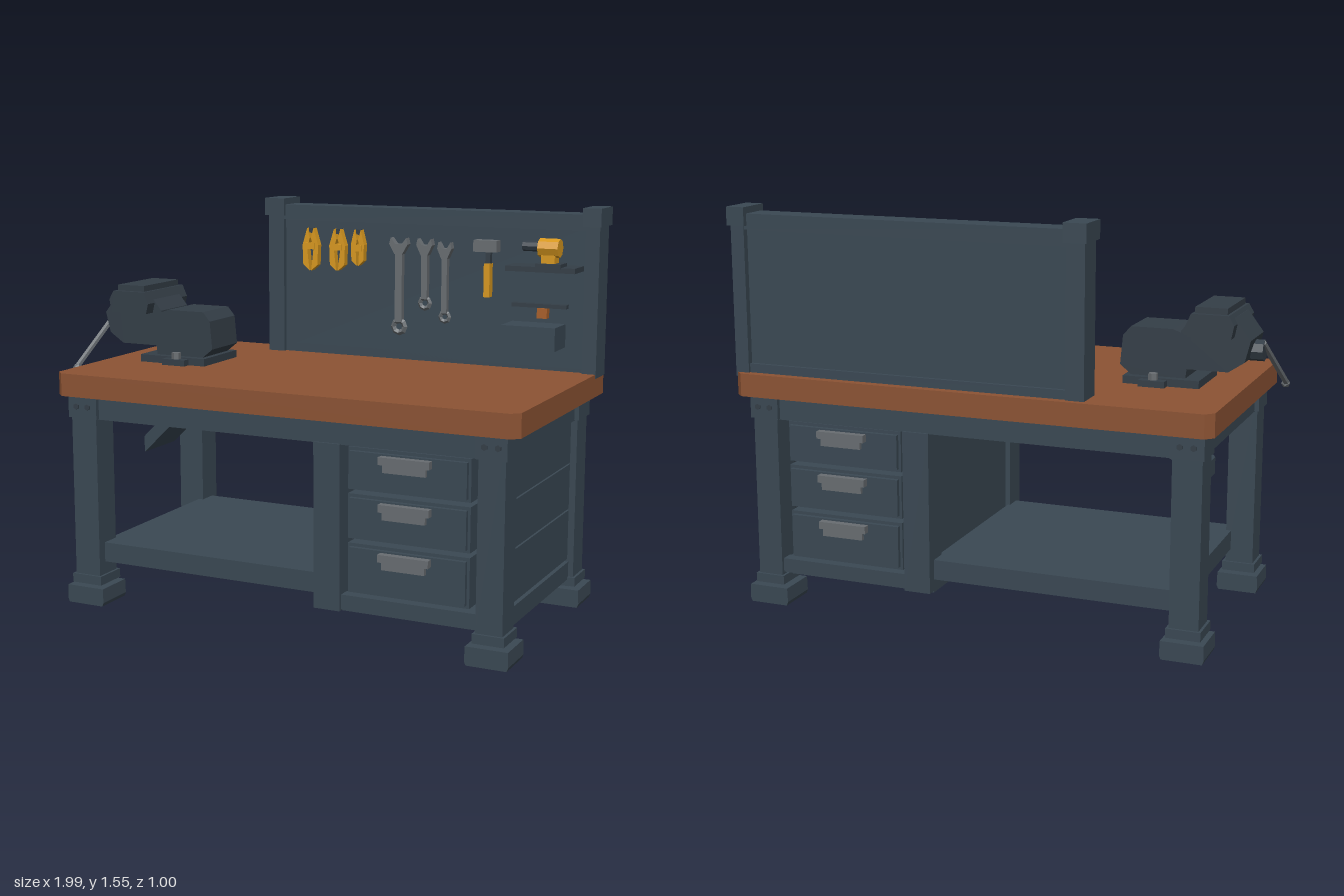
import * as THREE from 'three';

const mat = (name, color) => {
  const m = new THREE.MeshStandardMaterial({ color, flatShading: true });
  m.name = name;
  return m;
};

export function createModel() {
  const steel = mat('slate steel', 0x3a4853);
  const iron = mat('dark iron', 0x343e47);
  const wood = mat('brown wood', 0x8c5334);
  const yellow = mat('tool yellow', 0xd8981f);
  const grey = mat('bare metal', 0x686d71);
  const orange = mat('orange grip', 0xa8602a);

  const root = new THREE.Group();
  root.name = 'workbench';
  const group = (name) => {
    const g = new THREE.Group();
    g.name = name;
    root.add(g);
    return g;
  };
  const add = (g, name, geo, m) => {
    const mesh = new THREE.Mesh(geo, m);
    mesh.name = name;
    g.add(mesh);
    return mesh;
  };
  // Box given by its limits on each axis
  const box = (g, name, m, x0, x1, y0, y1, z0, z1) => {
    const b = add(g, name, new THREE.BoxGeometry(x1 - x0, y1 - y0, z1 - z0), m);
    b.position.set((x0 + x1) / 2, (y0 + y1) / 2, (z0 + z1) / 2);
  };
  // Flat outline in x/y, extruded from z0 to z1
  const plate = (g, name, m, pts, z0, z1) => {
    const shape = new THREE.Shape(pts.map((p) => new THREE.Vector2(p[0], p[1])));
    const geo = new THREE.ExtrudeGeometry(shape, { depth: z1 - z0, bevelEnabled: false });
    const p = add(g, name, geo, m);
    p.position.z = z0;
    return p;
  };
  // Round bar between two points
  const bar = (g, name, m, a, b, r, sides = 6) => {
    const va = new THREE.Vector3(...a), vb = new THREE.Vector3(...b);
    const d = vb.clone().sub(va);
    const mesh = add(g, name, new THREE.CylinderGeometry(r, r, d.length(), sides), m);
    mesh.position.copy(va).add(vb).multiplyScalar(0.5);
    mesh.quaternion.setFromUnitVectors(new THREE.Vector3(0, 1, 0), d.normalize());
  };

  // Worktop with clipped corners
  const top = group('worktop');
  const c = 0.03;
  const slab = plate(top, 'worktopSlab', wood, [
    [-0.893 + c, -0.505], [0.978 - c, -0.505], [0.978, -0.505 + c], [0.978, 0.5 - c],
    [0.978 - c, 0.5], [-0.893 + c, 0.5], [-0.893, 0.5 - c], [-0.893, -0.505 + c]], 0, 0.088);
  slab.rotation.x = -Math.PI / 2;
  slab.position.y = 0.848;

  // Legs, feet and corner brackets
  const frame = group('frame');
  for (const [x0, x1] of [[-0.85, -0.74], [0.82, 0.92]]) {
    const mid = (x0 + x1) / 2;
    for (const s of [-1, 1]) {
      const z = s * 0.4;
      box(frame, 'leg', steel, x0, x1, 0.13, 0.85, z - 0.058, z + 0.058);
      box(frame, 'ankle', steel, x0 - 0.01, x1 + 0.01, 0.1, 0.135, z - 0.068, z + 0.068);
      box(frame, 'ankleCore', steel, x0 + 0.02, x1 - 0.02, 0.08, 0.11, z - 0.04, z + 0.04);
      plate(frame, 'foot', steel, [[mid - 0.076, 0.02], [mid + 0.076, 0.02], [mid + 0.082, 0.035],
        [mid + 0.08, 0.09], [mid - 0.08, 0.09], [mid - 0.082, 0.035]], z - 0.08, z + 0.08);
      box(frame, 'cornerBracket', steel, x0 - 0.008, x1 + 0.008, 0.76, 0.85, z - 0.068, z + 0.068);
      for (const dx of [-0.025, 0.025]) {
        bar(frame, 'bolt', iron, [mid + dx, 0.805, s * 0.465], [mid + dx, 0.805, s * 0.474], 0.012);
      }
    }
  }
  for (const s of [-1, 1]) {
    box(frame, 'longApron', steel, -0.75, 0.83, 0.757, 0.85, s * 0.425 - 0.025, s * 0.425 + 0.025);
  }
  box(frame, 'leftApron', steel, -0.84, -0.79, 0.757, 0.85, -0.35, 0.35);
  box(frame, 'rightApron', steel, 0.86, 0.91, 0.757, 0.85, -0.35, 0.35);
  box(frame, 'underTopPanel', steel, -0.8, 0.88, 0.832, 0.847, -0.42, 0.42);
  box(frame, 'lowerShelf', steel, -0.76, 0.2, 0.185, 0.262, -0.42, 0.42);
  plate(frame, 'diagonalBrace', steel,
    [[-0.75, 0.56], [-0.53, 0.77], [-0.6, 0.77], [-0.75, 0.625]], -0.13, 0.1);

  // Drawer cabinet, with drawers facing front and back
  const cab = group('drawerCabinet');
  for (const s of [-1, 1]) {
    box(cab, 'cabinetPost', steel, 0.19, 0.295, 0.14, 0.76, s * 0.405 - 0.055, s * 0.405 + 0.055);
    box(cab, 'bottomRail', steel, 0.29, 0.83, 0.145, 0.2, s * 0.42 - 0.025, s * 0.42 + 0.025);
  }
  box(cab, 'cabinetInnerWall', steel, 0.21, 0.285, 0.14, 0.8, -0.36, 0.36);
  box(cab, 'cabinetFloor', steel, 0.2, 0.9, 0.125, 0.195, -0.4, 0.4);
  box(cab, 'cabinetBackingPanel', iron, 0.85, 0.872, 0.2, 0.76, -0.35, 0.35);
  const rows = [[0.21, 0.395], [0.412, 0.578], [0.594, 0.75]];
  for (const [y0, y1] of rows) {
    box(cab, 'sidePanel', steel, 0.865, 0.895, y0 - 0.004, y1 + 0.006, -0.345, 0.345);
    box(cab, 'drawer', steel, 0.315, 0.785, y0, y1, -0.43, 0.43);
    for (const s of [-1, 1]) {
      box(cab, 'drawerFront', steel, 0.325, 0.775, y0 + 0.012, y1 - 0.012, s * 0.437 - 0.01, s * 0.437 + 0.01);
      box(cab, 'drawerHandle', grey, 0.45, 0.645, y1 - 0.046, y1 - 0.018, s * 0.46 - 0.015, s * 0.46 + 0.015);
      box(cab, 'handleLip', grey, 0.465, 0.63, y1 - 0.074, y1 - 0.045, s * 0.463 - 0.008, s * 0.463 + 0.008);
    }
  }

  // Tool board standing on the back edge
  const board = group('toolBoard');
  for (const [x0, x1] of [[-0.42, -0.35], [0.925, 0.98]]) {
    box(board, 'boardPost', steel, x0, x1, 0.92, 1.5, -0.475, -0.36);
    box(board, 'postCap', steel, x0 - 0.01, x1 + 0.008, 1.495, 1.565, -0.49, -0.345);
  }
  box(board, 'topRail', steel, -0.35, 0.925, 1.48, 1.54, -0.47, -0.36);
  box(board, 'bottomRail', steel, -0.35, 0.925, 0.93, 0.97, -0.465, -0.38);
  box(board, 'backPanel', steel, -0.35, 0.925, 0.95, 1.49, -0.45, -0.38);

  // Hanging pliers
  const tools = group('hangingTools');
  for (const [x, h, w] of [[-0.22, 0.16, 0.032], [-0.1, 0.155, 0.032], [-0.01, 0.13, 0.026]]) {
    for (const s of [-1, 1]) {
      plate(tools, 'plierHandle', yellow, [
        [x + s * 0.004, 1.43 - h * 0.95], [x + s * w, 1.43 - h * 0.8], [x + s * (w + 0.003), 1.43 - h * 0.3],
        [x + s * 0.014, 1.45], [x + s * 0.003, 1.41], [x + s * (w - 0.018), 1.43 - h * 0.4]], -0.37, -0.34);
    }
    box(tools, 'plierPivot', yellow, x - 0.02, x + 0.02, 1.365, 1.39, -0.37, -0.335);
    box(tools, 'plierHook', iron, x - 0.01, x + 0.01, 1.43, 1.45, -0.39, -0.35);
  }
  // Wrenches with an open jaw above and a ring below
  for (const [x, y0, y1, r] of [[0.165, 1.07, 1.39, 0.033], [0.275, 1.17, 1.39, 0.028], [0.36, 1.12, 1.38, 0.025]]) {
    box(tools, 'wrenchShaft', grey, x - r * 0.45, x + r * 0.45, y0 + r * 0.6, y1 - 0.01, -0.375, -0.35);
    plate(tools, 'wrenchJaw', grey, [[x - r * 0.5, y1 - 0.03], [x + r * 0.5, y1 - 0.03], [x + r * 1.2, y1 + 0.01],
      [x + r, y1 + 0.035], [x + r * 0.4, y1 + 0.01], [x - r * 0.4, y1 + 0.01], [x - r, y1 + 0.035],
      [x - r * 1.2, y1 + 0.01]], -0.378, -0.347);
    const ring = add(tools, 'wrenchRing', new THREE.TorusGeometry(r * 0.75, r * 0.35, 4, 8), grey);
    ring.position.set(x, y0, -0.363);
  }
  // Hammer
  box(tools, 'hammerHead', grey, 0.485, 0.58, 1.385, 1.43, -0.38, -0.335);
  box(tools, 'hammerShaft', iron, 0.53, 0.55, 1.33, 1.39, -0.372, -0.35);
  box(tools, 'hammerGrip', yellow, 0.528, 0.552, 1.21, 1.34, -0.375, -0.34);

  // Small shelves with a power drill and a tray
  const shelf = group('boardShelves');
  box(shelf, 'upperShelf', iron, 0.64, 0.915, 1.325, 1.345, -0.39, -0.27);
  box(shelf, 'trayBox', steel, 0.635, 0.85, 1.03, 1.12, -0.39, -0.25);
  box(shelf, 'midShelf', iron, 0.64, 0.86, 1.18, 1.195, -0.39, -0.35);
  bar(shelf, 'drillBody', yellow, [0.765, 1.415, -0.305], [0.845, 1.415, -0.305], 0.036, 8);
  bar(shelf, 'drillChuck', iron, [0.7, 1.42, -0.305], [0.765, 1.42, -0.305], 0.02, 8);
  box(shelf, 'drillGrip', yellow, 0.778, 0.832, 1.355, 1.41, -0.33, -0.28);
  box(shelf, 'drillBattery', iron, 0.76, 0.86, 1.34, 1.358, -0.345, -0.265);
  box(shelf, 'smallTool', orange, 0.745, 0.785, 1.14, 1.18, -0.375, -0.345);

  // Bench vise at the end away from the drawers
  const vise = group('vise');
  box(vise, 'viseBase', iron, -0.74, -0.45, 0.935, 0.965, -0.13, 0.13);
  for (const s of [-1, 1]) {
    box(vise, 'baseLug', iron, -0.62, -0.52, 0.935, 0.96, s * 0.14 - 0.025, s * 0.14 + 0.025);
    bar(vise, 'baseBolt', grey, [-0.57, 0.955, s * 0.14], [-0.57, 0.985, s * 0.14], 0.018);
  }
  plate(vise, 'fixedBody', iron, [[-0.68, 0.96], [-0.48, 0.96], [-0.43, 1.0], [-0.44, 1.11],
    [-0.47, 1.145], [-0.63, 1.145], [-0.7, 1.12]], -0.1, 0.1);
  box(vise, 'slideBar', iron, -0.8, -0.64, 1.0, 1.11, -0.085, 0.085);
  plate(vise, 'movingBody', iron, [[-0.84, 1.0], [-0.66, 1.0], [-0.66, 1.14], [-0.71, 1.2],
    [-0.86, 1.2], [-0.92, 1.12], [-0.9, 1.04]], -0.1, 0.1);
  plate(vise, 'jaw', iron, [[-0.86, 1.13], [-0.7, 1.13], [-0.69, 1.17], [-0.71, 1.215],
    [-0.85, 1.215], [-0.87, 1.18]], -0.15, 0.15);
  box(vise, 'jawPlate', iron, -0.84, -0.72, 1.21, 1.238, -0.13, 0.13);
  bar(vise, 'screwEnd', iron, [-0.95, 1.07, 0], [-0.86, 1.07, 0], 0.04, 8);
  bar(vise, 'viseHandle', grey, [-0.945, 1.1, -0.01], [-0.985, 0.91, 0.22], 0.012);
  add(vise, 'handleKnob', new THREE.IcosahedronGeometry(0.018, 0), grey).position.set(-0.982, 0.905, 0.225);

  return root;
}
